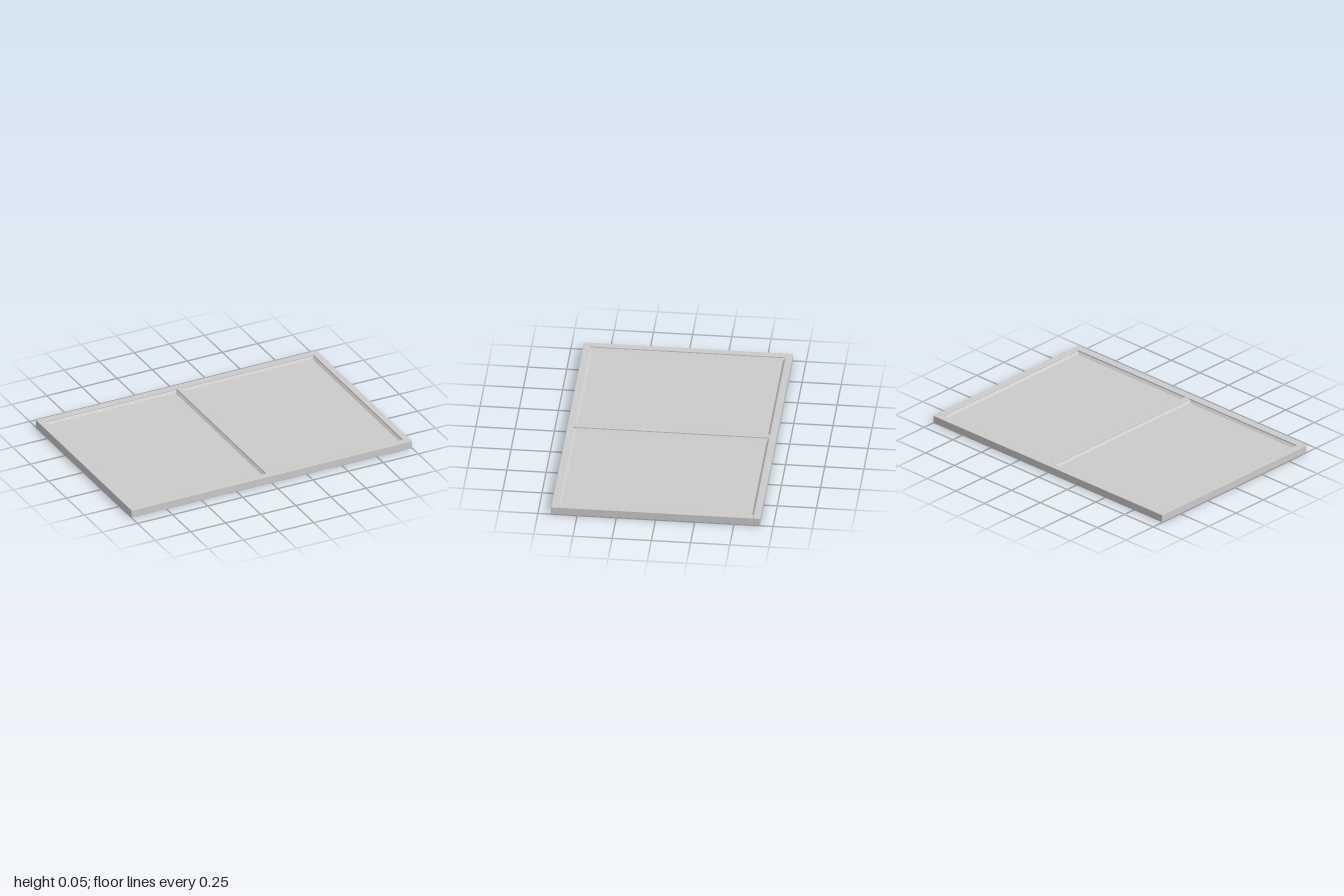
import * as THREE from 'three';
import { RoundedBoxGeometry } from 'three/addons/geometries/RoundedBoxGeometry.js';

const H = 0.053;        // frame thickness
const HALF_Z = 0.667;   // half depth of the whole frame
const IN_Z = 0.622;     // half depth of the openings
const IN_X = 0.955;     // outer side of each opening
const MULLION = 0.02;   // half width of the centre bar
const PANE = [0.022, 0.031];
const BEAD = 0.014;

export function createModel() {
  const group = new THREE.Group();
  const mat = new THREE.MeshStandardMaterial({ color: 0xcccccc });

  const add = (name, geometry, x, y, z, parent = group) => {
    const mesh = new THREE.Mesh(geometry, mat);
    mesh.name = name;
    mesh.position.set(x, y, z);
    parent.add(mesh);
    return mesh;
  };
  // Frame bar with softly eased edges
  const bar = (name, w, d, x, z) =>
    add(name, new RoundedBoxGeometry(w, H, d, 2, 0.003), x, H / 2, z);

  // Outer frame: full-width rails, stiles between them, and a centre bar
  for (const s of [-1, 1]) {
    bar(s > 0 ? 'frontRail' : 'backRail', 2, HALF_Z - IN_Z, 0, s * (HALF_Z + IN_Z) / 2);
    bar(s > 0 ? 'leftStile' : 'rightStile', 1 - IN_X, IN_Z * 2, s * (1 + IN_X) / 2, 0);
  }
  bar('mullion', MULLION * 2, IN_Z * 2, 0, 0);

  // Sloped glazing bead: triangular section, running along its own z axis
  const beadGeometry = (length) => {
    const section = new THREE.Shape([
      new THREE.Vector2(0, 0), new THREE.Vector2(BEAD, 0), new THREE.Vector2(0, BEAD),
    ]);
    return new THREE.ExtrudeGeometry(section, { depth: length, bevelEnabled: false })
      .translate(0, 0, -length / 2);
  };

  // Two panes, each held by beads above and below
  const w = IN_X - MULLION;
  for (const s of [-1, 1]) {
    const cx = s * (IN_X + MULLION) / 2;
    add(s > 0 ? 'leftPane' : 'rightPane',
      new THREE.BoxGeometry(w, PANE[1] - PANE[0], IN_Z * 2), cx, (PANE[0] + PANE[1]) / 2, 0);

    for (const up of [true, false]) {
      const beads = new THREE.Group();
      beads.name = (s > 0 ? 'left' : 'right') + (up ? 'UpperBeads' : 'LowerBeads');
      beads.position.set(cx, up ? PANE[1] : PANE[0], 0);
      if (!up) beads.rotation.z = Math.PI;
      group.add(beads);
      for (const side of [0, 1]) {
        add('sideBead', beadGeometry(IN_Z * 2), side ? w / 2 : -w / 2, 0, 0, beads)
          .rotation.y = side * Math.PI;
        add('endBead', beadGeometry(w), 0, 0, side ? -IN_Z : IN_Z, beads)
          .rotation.y = side ? -Math.PI / 2 : Math.PI / 2;
      }
    }
  }
  return group;
}
